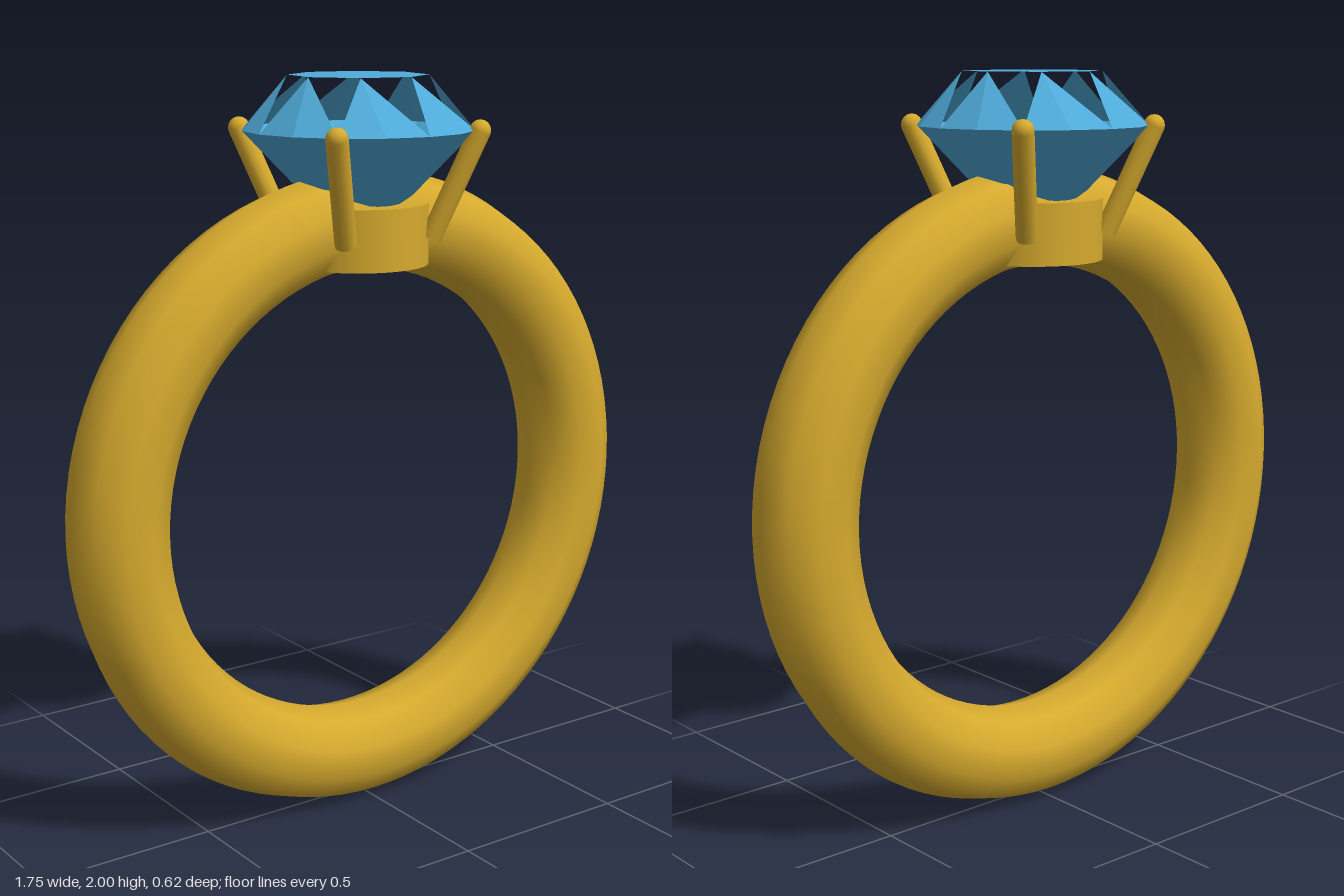
import * as THREE from 'three';

const gold = new THREE.MeshStandardMaterial({ color: 0xd6aa2e });
gold.name = 'gold';
const blue = new THREE.MeshStandardMaterial({ color: 0x4fabda, side: THREE.DoubleSide, flatShading: true });
blue.name = 'gem blue';

const GIRDLE = { r: 0.308, y: 1.86, n: 16 };
const TABLE = { r: 0.185, y: 2.0, n: 8 };
const CULET = new THREE.Vector3(0, 1.54, 0);

function add(parent, name, geometry, material) {
  const mesh = new THREE.Mesh(geometry, material);
  mesh.name = name;
  parent.add(mesh);
  return mesh;
}

// Point on a horizontal circle, angle in degrees from +x towards +z
function onCircle({ r, y }, deg) {
  const a = THREE.MathUtils.degToRad(deg);
  return new THREE.Vector3(r * Math.cos(a), y, r * Math.sin(a));
}

function facets(points) {
  const geometry = new THREE.BufferGeometry().setFromPoints(points);
  geometry.computeVertexNormals();
  return geometry;
}

function makeGem() {
  const gem = new THREE.Group();
  gem.name = 'gem';
  const girdle = (i) => onCircle(GIRDLE, i * 22.5);
  const table = (k) => onCircle(TABLE, k * 45 + 33.75);

  const top = [], crown = [], pavilion = [];
  for (let k = 0; k < TABLE.n; k++) {
    top.push(new THREE.Vector3(0, TABLE.y, 0), table(k + 1), table(k));
    // Each table corner carries two crown facets, with open gaps between the pairs
    for (const i of [2 * k, 2 * k + 1]) crown.push(table(k), girdle(i + 1), girdle(i));
  }
  for (let i = 0; i < GIRDLE.n; i++) pavilion.push(CULET, girdle(i), girdle(i + 1));

  add(gem, 'gemTable', facets(top), blue);
  add(gem, 'gemCrown', facets(crown), blue);
  add(gem, 'gemPavilion', facets(pavilion), blue);
  return gem;
}

// Slanted claw with a rounded tip, in the quadrant given by sx and sz
function makeProng(sx, sz) {
  const prong = new THREE.Group();
  prong.name = 'prong';
  const foot = new THREE.Vector3(sx * 0.137, 1.58, sz * 0.137);
  const tip = new THREE.Vector3(sx * 0.226, 1.86, sz * 0.226);
  const axis = tip.clone().sub(foot);
  const shaft = add(prong, 'prongShaft', new THREE.CylinderGeometry(0.029, 0.029, axis.length(), 12), gold);
  shaft.position.copy(foot).add(tip).multiplyScalar(0.5);
  shaft.quaternion.setFromUnitVectors(new THREE.Vector3(0, 1, 0), axis.normalize());
  add(prong, 'prongTip', new THREE.SphereGeometry(0.029, 12, 8), gold).position.copy(tip);
  return prong;
}

export function createModel() {
  const ring = new THREE.Group();
  ring.name = 'ring';

  // Band
  add(ring, 'band', new THREE.TorusGeometry(0.745, 0.132, 10, 96), gold).position.y = 0.878;

  // Round setting under the gem
  add(ring, 'setting', new THREE.CylinderGeometry(0.187, 0.187, 0.162, 32), gold).position.y = 1.589;

  // Four prongs
  for (const sx of [-1, 1]) for (const sz of [-1, 1]) ring.add(makeProng(sx, sz));

  ring.add(makeGem());
  return ring;
}
